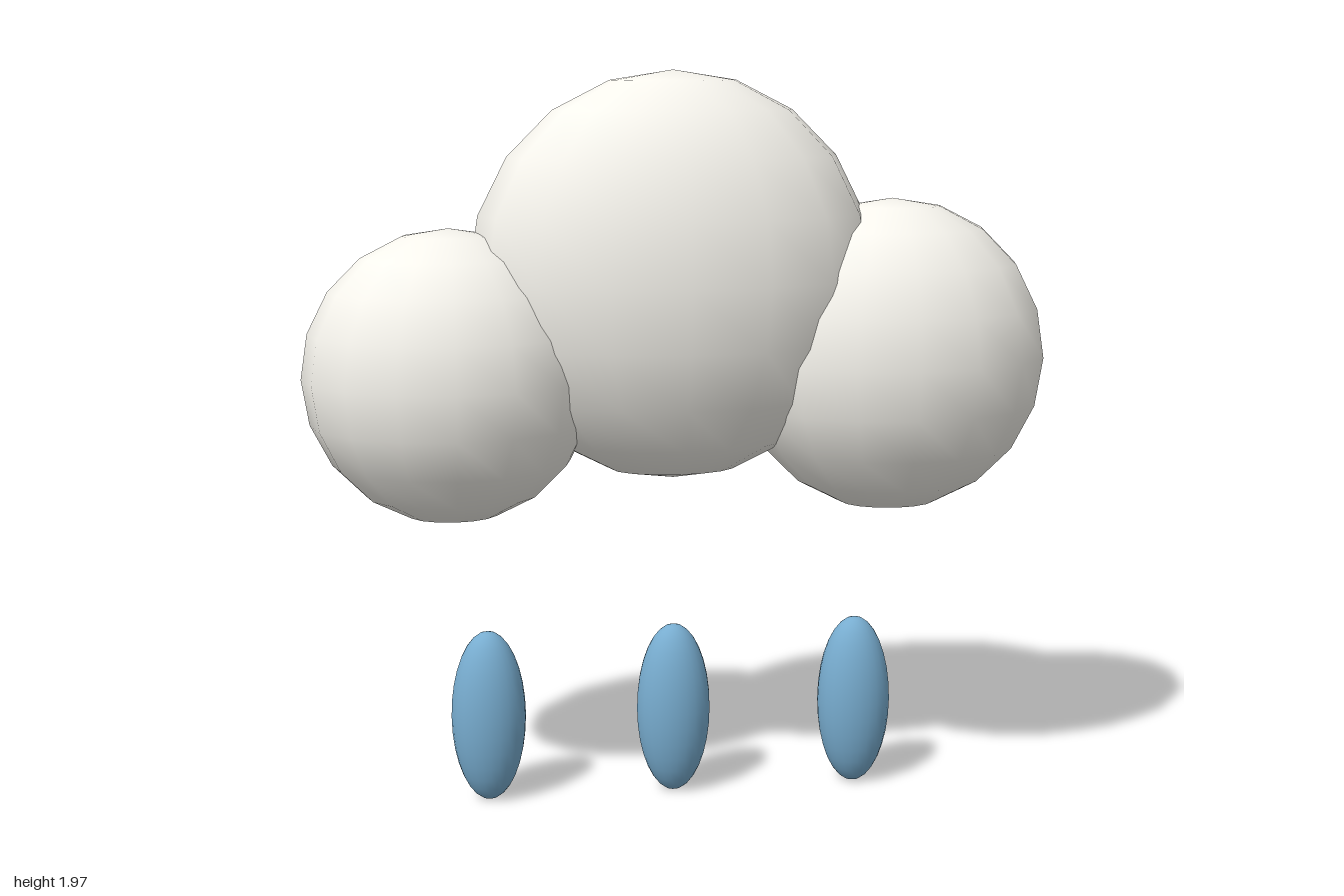
import * as THREE from 'three';

const cloudMaterial = new THREE.MeshStandardMaterial({ color: 0xf5f3ec });
const rainMaterial = new THREE.MeshStandardMaterial({ color: 0x78add0 });

// Ellipsoid from a unit sphere, given centre and radii
function ellipsoid(name, geometry, material, [x, y], radii) {
  const mesh = new THREE.Mesh(geometry, material);
  mesh.name = name;
  mesh.position.set(x, y, 0);
  mesh.scale.set(...radii);
  return mesh;
}

export function createModel() {
  const model = new THREE.Group();
  model.name = 'rainCloud';

  // Cloud: three overlapping puffs, flattened front to back
  const puff = new THREE.SphereGeometry(1, 16, 10);
  const cloud = new THREE.Group();
  cloud.name = 'cloud';
  cloud.add(
    ellipsoid('middlePuff', puff, cloudMaterial, [-0.018, 1.426], [0.542, 0.542, 0.338]),
    ellipsoid('rightPuff', puff, cloudMaterial, [-0.61, 1.172], [0.39, 0.39, 0.338]),
    ellipsoid('leftPuff', puff, cloudMaterial, [0.576, 1.205], [0.424, 0.424, 0.338]),
  );
  model.add(cloud);

  // Raindrops: a row of three slim ellipsoids below
  const drop = new THREE.SphereGeometry(1, 24, 16);
  const rain = new THREE.Group();
  rain.name = 'rain';
  ['rightRaindrop', 'middleRaindrop', 'leftRaindrop'].forEach((name, i) => {
    const x = -0.018 + (i - 1) * 0.508;
    rain.add(ellipsoid(name, drop, rainMaterial, [x, 0.237], [0.101, 0.237, 0.084]));
  });
  model.add(rain);

  return model;
}
